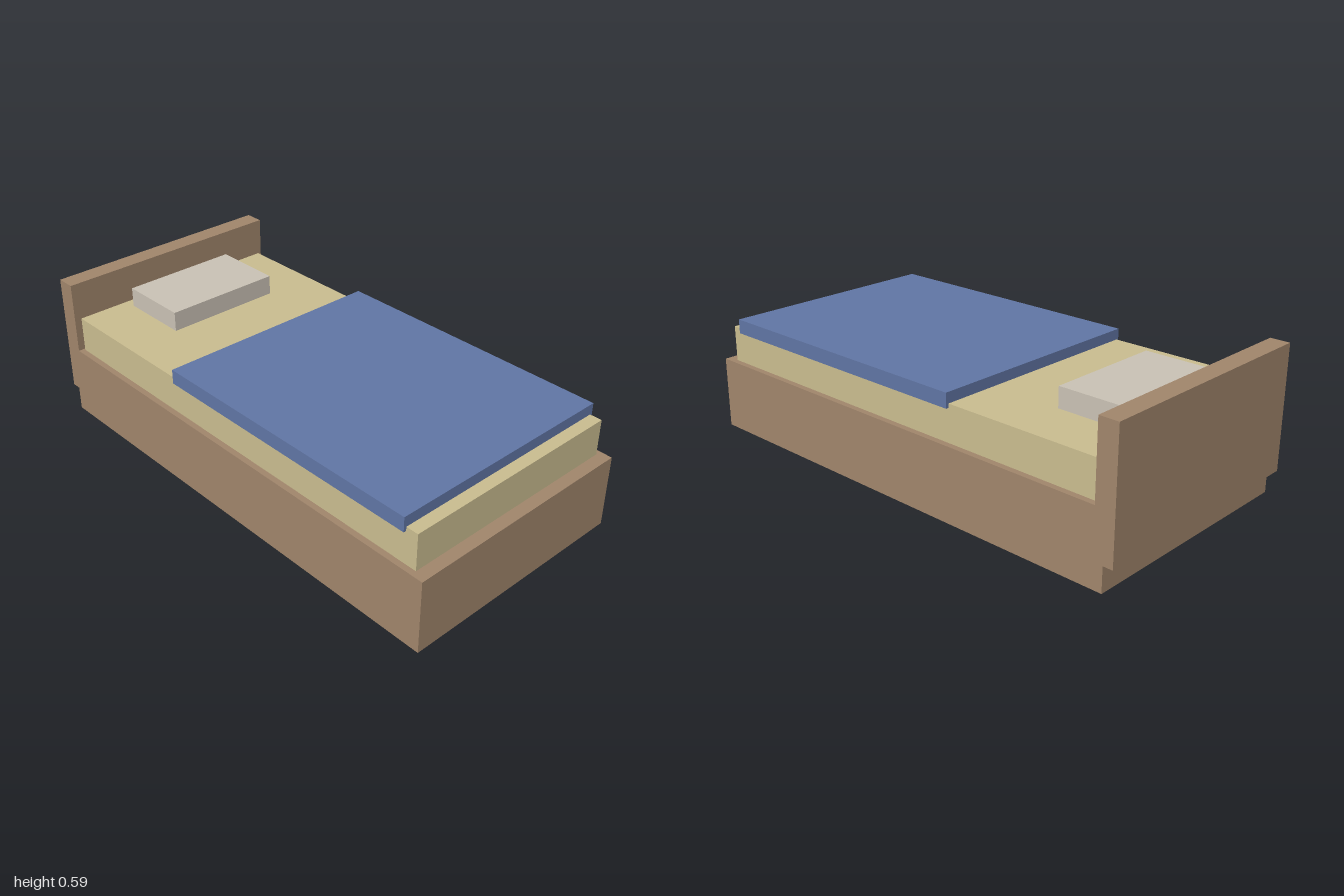
import * as THREE from 'three';

const material = (name, color) => {
  const m = new THREE.MeshStandardMaterial({ color });
  m.name = name;
  return m;
};

export function createModel() {
  const group = new THREE.Group();
  group.name = 'bed';

  const wood = material('wood', 0xa0856b);
  const cream = material('cream', 0xc9bc8f);
  const blue = material('blue', 0x6075a4);
  const linen = material('linen', 0xc9c1b4);

  // Box centred on x, given its half width and its y and z extents
  const slab = (name, mat, halfWidth, [y0, y1], [z0, z1]) => {
    const mesh = new THREE.Mesh(new THREE.BoxGeometry(2 * halfWidth, y1 - y0, z1 - z0), mat);
    mesh.name = name;
    mesh.position.set(0, (y0 + y1) / 2, (z0 + z1) / 2);
    group.add(mesh);
  };

  // Frame: the headboard overhangs the back of the base
  slab('base', wood, 0.488, [0, 0.293], [-0.961, 1]);
  slab('headboard', wood, 0.488, [0.098, 0.588], [-1, -0.922]);

  // Bedding: the blanket wraps slightly over the mattress edges
  slab('mattress', cream, 0.464, [0.293, 0.438], [-0.912, 0.951]);
  slab('blanket', blue, 0.475, [0.422, 0.48], [-0.275, 0.902]);
  slab('pillow', linen, 0.244, [0.438, 0.518], [-0.863, -0.57]);

  return group;
}
